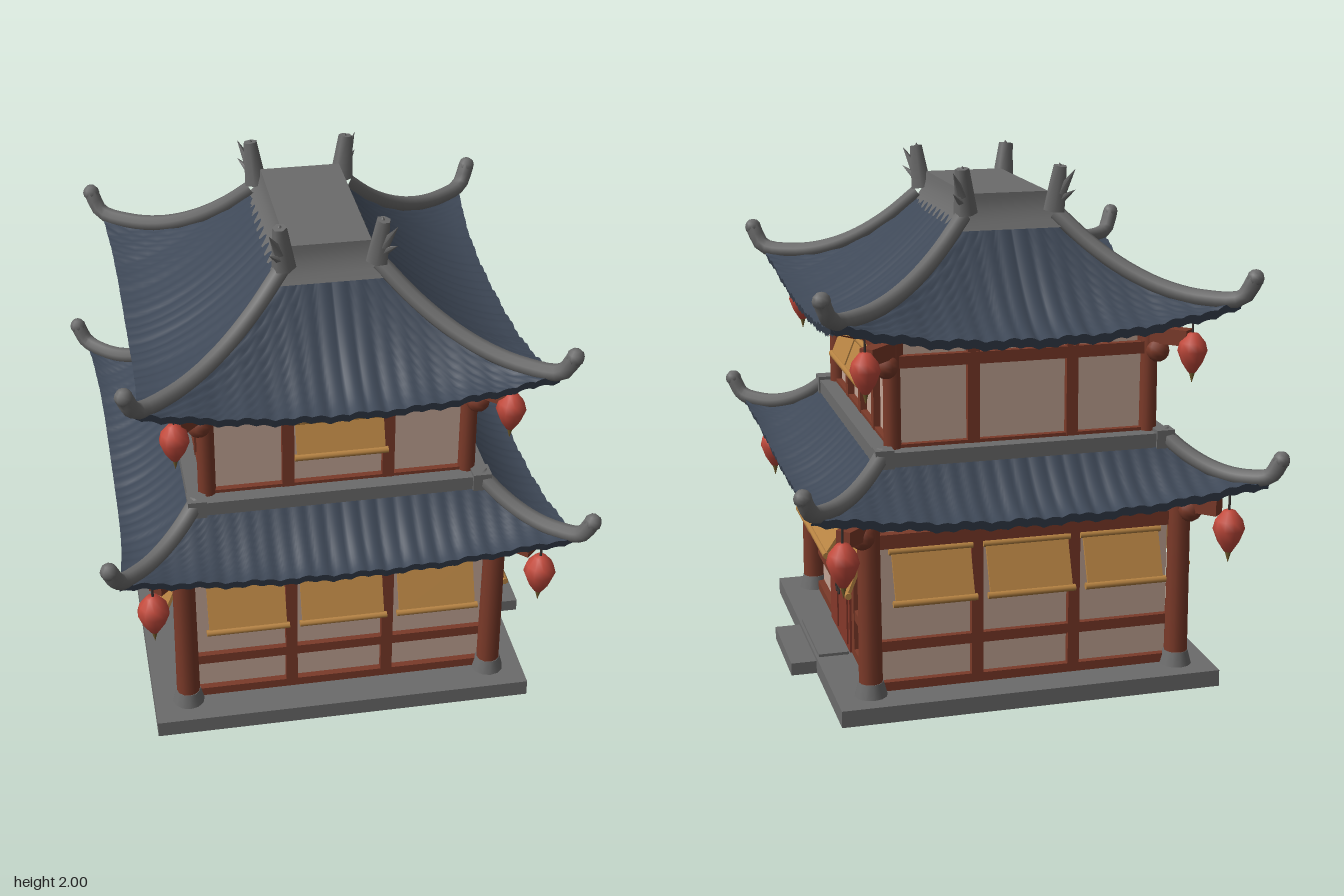
import * as THREE from 'three';

const mat = (name, color, side = THREE.FrontSide) => {
  const m = new THREE.MeshStandardMaterial({ color, side });
  m.name = name;
  return m;
};
const M = {
  tile: mat('slate blue tile', 0x3e4857),
  stone: mat('grey stone', 0x6b6b6b),
  wood: mat('red brown wood', 0x7b3a29),
  door: mat('door red', 0x86382a),
  wall: mat('plaster', 0xc3a595),
  cloth: mat('ochre cloth', 0xb88443),
  lantern: mat('lantern red', 0xc24a3c),
  gold: mat('dull gold', 0x77602f),
  dark: mat('dark iron', 0x3a3230),
};

function add(parent, name, geo, material, x = 0, y = 0, z = 0) {
  const m = new THREE.Mesh(geo, material);
  m.name = name;
  m.position.set(x, y, z);
  parent.add(m);
  return m;
}
const box = (p, name, material, w, h, d, x, y, z) =>
  add(p, name, new THREE.BoxGeometry(w, h, d), material, x, y, z);
const corners = [[1, 1], [1, -1], [-1, -1], [-1, 1]];

// Grid surface from a function of (u in -1..1, v in 0..1)
function grid(fn, nu, nv, flip) {
  const pos = [], idx = [];
  for (let j = 0; j <= nv; j++)
    for (let i = 0; i <= nu; i++) pos.push(...fn(-1 + (2 * i) / nu, j / nv));
  for (let j = 0; j < nv; j++)
    for (let i = 0; i < nu; i++) {
      const a = j * (nu + 1) + i, b = a + 1, c = a + nu + 1, d = c + 1;
      if (flip) idx.push(a, b, c, b, d, c);
      else idx.push(a, c, b, b, c, d);
    }
  const g = new THREE.BufferGeometry();
  g.setAttribute('position', new THREE.Float32BufferAttribute(pos, 3));
  g.setIndex(idx);
  g.computeVertexNormals();
  return g;
}

// Sweeping hipped roof: four ribbed slopes, eave edge, soffit and corner ridges
function roof(parent, name, r) {
  const g = new THREE.Group();
  g.name = name;
  parent.add(g);
  const lerp = THREE.MathUtils.lerp;
  const height = (u, v) =>
    r.eave + (r.top - r.eave) * Math.pow(1 - v, 1.7) + r.rise * v * v * Math.pow(Math.abs(u), 2.5);
  for (let k = 0; k < 4; k++) {
    const s = k % 2;
    const point = (u, v, y, inner = r.inner) => {
      const f = 1 + r.flare * v * u ** 4;
      return [u * f * lerp(inner[s], r.outer[s], v), y, f * lerp(inner[1 - s], r.outer[1 - s], v)];
    };
    const ribbed = (u, v) => {
      const p = point(u, v, height(u, v));
      p[1] += 0.009 * Math.abs(Math.sin(p[0] * 47)) + 0.004 * v * Math.sin(p[0] * 31 + k * 2);
      return p;
    };
    const edge = (u, v) => {
      const p = ribbed(u, 1);
      p[1] -= 0.035 * v;
      p[2] -= 0.012 * v;
      return p;
    };
    const under = (u, v) => {
      const p = point(u, v, lerp(r.soffit, r.eave - 0.025, v) + r.rise * v * v * Math.abs(u) ** 2.5, r.wall);
      p[2] -= 0.01 * v;
      return p;
    };
    const side = new THREE.Group();
    side.name = 'roofSide';
    side.rotation.y = (k * Math.PI) / 2;
    g.add(side);
    add(side, 'tiles', grid(ribbed, 150, 12), M.tile);
    add(side, 'eaveEdge', grid(edge, 150, 1), M.tile);
    add(side, 'soffit', grid(under, 24, 6, true), M.wood);
  }
  for (const [sx, sz] of corners) {
    const pts = [];
    for (let i = 0; i <= 5; i++) {
      const v = i / 5, f = 1 + r.flare * v;
      pts.push(new THREE.Vector3(sx * f * lerp(r.inner[0], r.outer[0], v), height(1, v) + 0.02,
        sz * f * lerp(r.inner[1], r.outer[1], v)));
    }
    pts.push(new THREE.Vector3(sx * r.tip[0], r.tip[1], sz * r.tip[2]));
    add(g, 'cornerRidge', new THREE.TubeGeometry(new THREE.CatmullRomCurve3(pts), 24, r.ridge, 8), M.stone);
    add(g, 'ridgeTip', new THREE.SphereGeometry(r.ridge * 1.05, 8, 6), M.stone, ...pts[6].toArray());
  }
}

// Cloth awning hanging out from the wall, with a rolled lower hem
function awning(parent, x, top, w, h, z, tilt = 0.38) {
  const g = new THREE.Group();
  g.name = 'awning';
  g.position.set(x, top, z);
  g.rotation.x = -tilt;
  const len = h / Math.cos(tilt);
  box(g, 'awningCloth', M.cloth, w, len, 0.012, 0, -len / 2, 0);
  for (const y of [0, -len])
    add(g, 'awningRoll', new THREE.CylinderGeometry(0.013, 0.013, w + 0.02, 8), M.cloth, 0, y, 0.002).rotation.z = Math.PI / 2;
  parent.add(g);
}

// Lantern on a cord with a tassel
function lantern(parent, x, y, z, s) {
  const g = new THREE.Group();
  g.name = 'lantern';
  g.position.set(x, y, z);
  g.scale.setScalar(s);
  const profile = [[0, -0.085], [0.016, -0.08], [0.042, -0.04], [0.061, 0.01], [0.052, 0.045], [0.024, 0.08], [0, 0.085]];
  add(g, 'lanternBody', new THREE.LatheGeometry(profile.map(p => new THREE.Vector2(...p)), 10), M.lantern);
  add(g, 'tassel', new THREE.ConeGeometry(0.014, 0.05, 6), M.gold, 0, -0.1, 0).rotation.x = Math.PI;
  add(g, 'cord', new THREE.CylinderGeometry(0.005, 0.005, 0.1, 5), M.dark, 0, 0.12, 0);
  parent.add(g);
}

// Timber frame on one wall: posts, beams, all in the wall's own frame
function frame(parent, k, half, out, y0, y1, posts, beams) {
  const g = new THREE.Group();
  g.name = 'wallFrame';
  g.rotation.y = (k * Math.PI) / 2;
  parent.add(g);
  for (const x of posts) box(g, 'post', M.wood, 0.045, y1 - y0, 0.05, x, (y0 + y1) / 2, out);
  for (const [y, h, d] of beams) box(g, 'beam', M.wood, half * 2, h, d, 0, y, out);
  return g;
}

export function createModel() {
  const root = new THREE.Group();
  root.name = 'pagodaHouse';

  // Stone base and doorstep
  box(root, 'base', M.stone, 1.48, 0.065, 1.46, 0, 0.0325, 0);
  box(root, 'doorstep', M.stone, 0.12, 0.05, 0.4, 0.78, 0.025, 0);
  box(root, 'threshold', M.stone, 0.12, 0.012, 0.4, 0.67, 0.07, 0);

  // Storey walls
  box(root, 'lowerWalls', M.wall, 1.14, 0.72, 1.14, 0, 0.425, 0);
  box(root, 'upperWalls', M.wall, 0.97, 0.54, 1.04, 0, 1.16, 0);

  // Corner columns, footings, brackets and lanterns
  for (const [sx, sz] of corners) {
    add(root, 'lowerColumn', new THREE.CylinderGeometry(0.042, 0.046, 0.72, 12), M.wood, sx * 0.605, 0.42, sz * 0.605);
    add(root, 'footing', new THREE.CylinderGeometry(0.048, 0.064, 0.06, 12), M.stone, sx * 0.605, 0.09, sz * 0.605);
    add(root, 'upperColumn', new THREE.CylinderGeometry(0.032, 0.034, 0.52, 12), M.wood, sx * 0.495, 1.16, sz * 0.53);
    const yaw = Math.atan2(sx, sz);
    const b1 = box(root, 'lowerBracket', M.wood, 0.06, 0.06, 0.2, sx * 0.65, 0.725, sz * 0.65);
    const b2 = box(root, 'upperBracket', M.wood, 0.055, 0.06, 0.2, sx * 0.54, 1.37, sz * 0.575);
    b1.rotation.y = b2.rotation.y = yaw;
    add(root, 'lowerBracketKnob', new THREE.SphereGeometry(0.05, 10, 8), M.wood, sx * 0.635, 0.7, sz * 0.635);
    add(root, 'upperBracketKnob', new THREE.SphereGeometry(0.046, 10, 8), M.wood, sx * 0.52, 1.31, sz * 0.555);
    lantern(root, sx * 0.735, 0.65, sz * 0.785, 1);
    lantern(root, sx * 0.618, 1.315, sz * 0.66, 0.92);
  }

  // Wall framing and awnings, one side at a time (k = 1 is the door side)
  for (let k = 0; k < 4; k++) {
    const isDoor = k === 1, side = k % 2;
    const p = isDoor ? 0.225 : 0.19;
    const low = frame(root, k, 0.59, 0.572, 0.07, 0.76, [-p, p], [[0.66, 0.055, 0.07], [0.245, 0.04, 0.045], [0.085, 0.035, 0.05], [0.755, 0.03, 0.06]]);
    for (const s of [-1, 1]) awning(low, s * (isDoor ? 0.393 : 0.37), 0.62, 0.3, 0.18, 0.6);
    if (isDoor) {
      awning(low, 0, 0.605, 0.4, 0.12, 0.61, 0.6);
      for (const s of [-1, 1]) {
        box(low, 'doorLeaf', M.door, 0.198, 0.46, 0.03, s * 0.1, 0.3, 0.59);
        box(low, 'doorPanel', M.door, 0.14, 0.15, 0.009, s * 0.1, 0.39, 0.607);
        box(low, 'doorPanel', M.door, 0.14, 0.19, 0.009, s * 0.1, 0.19, 0.607);
        add(low, 'doorHandle', new THREE.TorusGeometry(0.016, 0.004, 6, 12), M.dark, s * 0.02, 0.27, 0.613);
      }
      const sign = new THREE.Group();
      sign.name = 'signBoard';
      sign.position.set(0, 0.665, 0.64);
      sign.rotation.x = 0.3;
      box(sign, 'signFrame', M.dark, 0.31, 0.1, 0.02, 0, 0, 0);
      box(sign, 'signFace', M.stone, 0.27, 0.07, 0.008, 0, 0, 0.012);
      low.add(sign);
    } else awning(low, 0, 0.62, 0.32, 0.18, 0.6);

    const half = side ? 0.53 : 0.495, out = side ? 0.487 : 0.522;
    const up = frame(root, k, half, out, 0.92, 1.41, side ? [-0.255, 0, 0.255] : [-0.19, 0.19],
      [[1.32, 0.045, 0.055], [1.41, 0.03, 0.05], [0.995, 0.03, 0.045]]);
    if (side) for (const s of [-1, 1]) awning(up, s * 0.137, 1.295, 0.255, 0.12, out + 0.03);
    else if (k === 0) awning(up, 0, 1.285, 0.33, 0.125, out + 0.03);
  }

  // Roofs
  roof(root, 'lowerRoof', {
    inner: [0.54, 0.575], outer: [0.82, 0.83], wall: [0.55, 0.55], top: 0.97, eave: 0.775, soffit: 0.765,
    rise: 0.085, flare: 0.045, tip: [0.89, 0.945, 0.89], ridge: 0.032,
  });
  roof(root, 'upperRoof', {
    inner: [0.18, 0.35], outer: [0.73, 0.75], wall: [0.47, 0.5], top: 1.79, eave: 1.42, soffit: 1.42,
    rise: 0.1, flare: 0.04, tip: [0.795, 1.615, 0.81], ridge: 0.032,
  });

  // Stone band where the upper storey meets the lower roof
  for (const s of [-1, 1]) {
    box(root, 'roofBand', M.stone, 1.13, 0.055, 0.06, 0, 0.97, s * 0.575);
    box(root, 'roofBand', M.stone, 0.06, 0.055, 1.2, s * 0.54, 0.97, 0);
  }
  for (const [sx, sz] of corners)
    box(root, 'bandCorner', M.stone, 0.07, 0.07, 0.07, sx * 0.54, 0.975, sz * 0.58);

  // Flared ridge cap
  const cap = new THREE.BoxGeometry(2, 0.13, 2, 1, 4, 1);
  const pos = cap.attributes.position;
  for (let i = 0; i < pos.count; i++) {
    const t = pos.getY(i) / 0.13 + 0.5, q = (1 - t) ** 2 * 0.055;
    pos.setX(i, pos.getX(i) * (0.155 + q));
    pos.setZ(i, pos.getZ(i) * (0.33 + q));
  }
  cap.computeVertexNormals();
  add(root, 'ridgeCap', cap, M.stone, 0, 1.825, 0);

  // Horned finials on the cap corners
  for (const [sx, sz] of corners) {
    const f = new THREE.Group();
    f.name = 'finial';
    f.position.set(sx * 0.165, 1.84, sz * 0.35);
    f.rotation.y = Math.atan2(sx, sz);
    add(f, 'finialPost', new THREE.CylinderGeometry(0.027, 0.045, 0.17, 6), M.stone, 0, 0.065, 0.02).rotation.x = 0.15;
    add(f, 'finialHorn', new THREE.ConeGeometry(0.025, 0.11, 5), M.stone, 0, 0.095, 0.065).rotation.x = 0.6;
    add(f, 'finialHorn', new THREE.ConeGeometry(0.022, 0.09, 5), M.stone, 0, 0.04, 0.06).rotation.x = 1.0;
    add(f, 'finialTip', new THREE.ConeGeometry(0.027, 0.04, 5), M.stone, 0, 0.14, 0.03);
    root.add(f);
  }
  return root;
}
